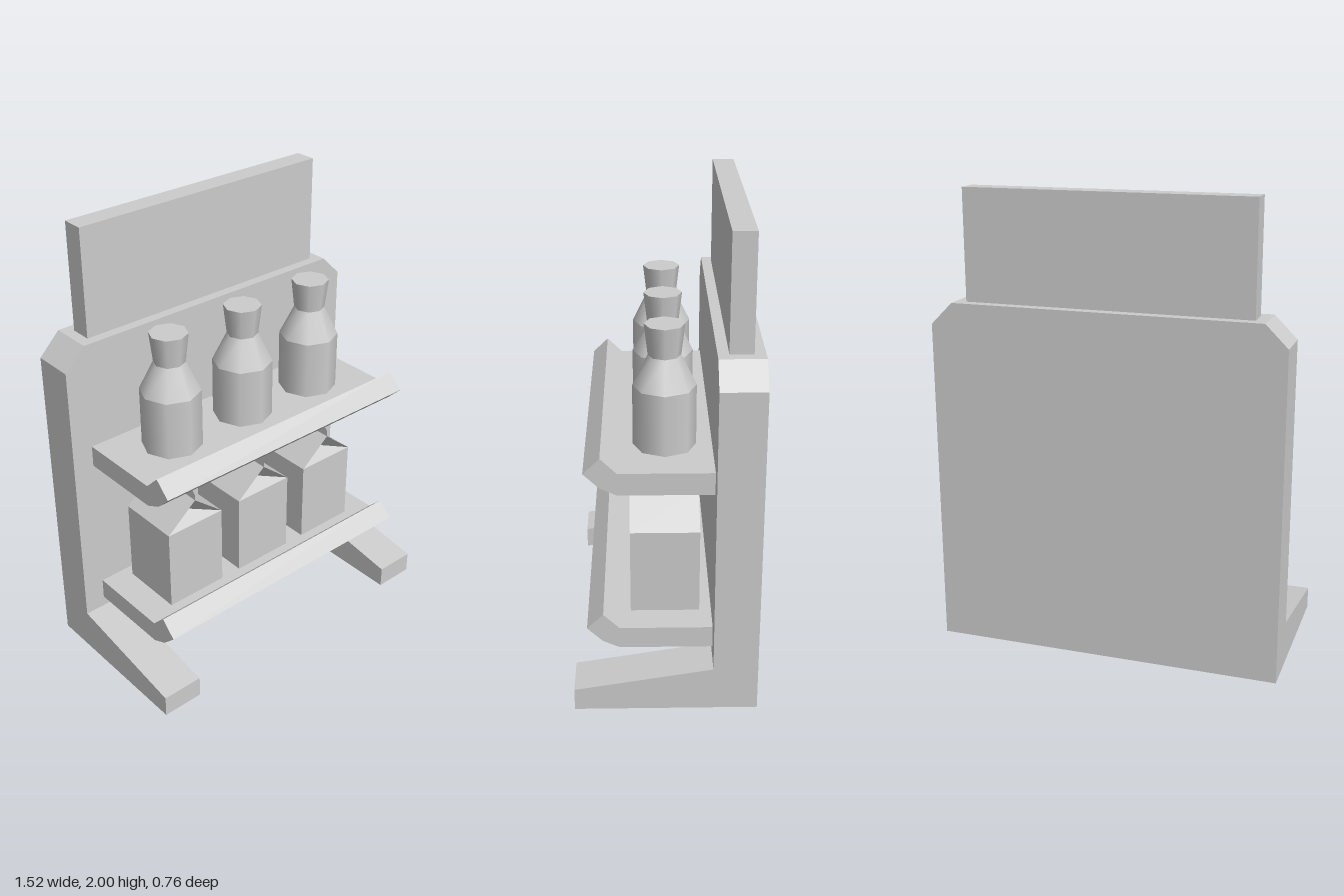
import * as THREE from 'three';

const flat = new THREE.MeshStandardMaterial({ color: 0xcccccc, flatShading: true });
const smooth = new THREE.MeshStandardMaterial({ color: 0xcccccc });
const thin = new THREE.MeshStandardMaterial({ color: 0xcccccc, side: THREE.DoubleSide });

function add(parent, name, geometry, x = 0, y = 0, z = 0, material = flat) {
  const mesh = new THREE.Mesh(geometry, material);
  mesh.name = name;
  mesh.position.set(x, y, z);
  parent.add(mesh);
  return mesh;
}

const shapeOf = (points) => new THREE.Shape(points.map(([x, y]) => new THREE.Vector2(x, y)));

const extrude = (points, depth) =>
  new THREE.ExtrudeGeometry(shapeOf(points), { depth, bevelEnabled: false });

// Side profile in [z, y], swept along x and centred
function sweepX(profile, width) {
  return extrude(profile.map(([z, y]) => [-z, y]), width)
    .rotateY(Math.PI / 2)
    .translate(-width / 2, 0, 0);
}

// Bottle standing on y = 0: body, shoulder and flared neck
function createBottle() {
  const bottle = new THREE.Group();
  const sections = [
    ['bottleBody', 0.13, 0.13, 0, 0.26],
    ['bottleShoulder', 0.067, 0.13, 0.26, 0.39],
    ['bottleNeck', 0.082, 0.067, 0.39, 0.52],
  ];
  for (const [name, top, bottom, y0, y1] of sections) {
    add(bottle, name, new THREE.CylinderGeometry(top, bottom, y1 - y0, 8), 0, (y0 + y1) / 2, 0, smooth);
  }
  return bottle;
}

// Gable-top carton standing on y = 0
function createCarton() {
  const carton = new THREE.Group();
  const w = 0.145, eave = 0.375, ridge = 0.495;
  add(carton, 'cartonBody', new THREE.BoxGeometry(2 * w, eave, 2 * w), 0, eave / 2, 0);

  // Half roof: one slope and one folded-in gable; the other half is turned round
  const A = [-w, eave, w], B = [w, eave, w], C = [w, eave, -w];
  const P = [0, ridge, w], Q = [0, ridge, -w], I = [0, 0.415, 0.075];
  const half = new THREE.BufferGeometry();
  const corners = [B, C, Q, B, Q, P, A, B, I, B, P, I, P, A, I].flat();
  half.setAttribute('position', new THREE.Float32BufferAttribute(corners, 3));
  half.computeVertexNormals();
  for (const turn of [0, Math.PI]) add(carton, 'cartonRoof', half).rotation.y = turn;

  // Sealed crest along the ridge
  const crest = new THREE.ShapeGeometry(shapeOf([
    [-w, ridge], [w, ridge], [w, 0.522], [0.12, 0.545], [-0.12, 0.545], [-w, 0.522],
  ]));
  add(carton, 'cartonCrest', crest, 0, 0, 0, thin).rotation.y = Math.PI / 2;
  return carton;
}

export function createModel() {
  const model = new THREE.Group();
  model.name = 'displayStand';

  // Back panel with clipped upper corners, and the header board
  const panel = extrude([
    [-0.76, 0], [0.76, 0], [0.76, 1.43], [0.665, 1.525], [-0.665, 1.525], [-0.76, 1.43],
  ], 0.185);
  add(model, 'backPanel', panel, 0, 0, -0.38);
  add(model, 'headerBoard', new THREE.BoxGeometry(1.235, 0.475, 0.095), 0, 1.7625, -0.287);

  // Sloping feet
  const foot = sweepX([[-0.195, 0], [-0.195, 0.192], [0.38, 0.097], [0.38, 0]], 0.187);
  for (const side of [-1, 1]) add(model, side > 0 ? 'leftFoot' : 'rightFoot', foot, side * 0.6665);

  // Shelves with a raised lip, each carrying three goods
  const shelf = sweepX([
    [-0.195, -0.095], [-0.195, 0], [0.19, 0], [0.257, 0.066],
    [0.325, 0], [0.26, -0.063], [0.19, -0.095],
  ], 1.33);
  const levels = [['lowerShelf', 0.335, createCarton, 'carton'], ['upperShelf', 1.05, createBottle, 'bottle']];
  for (const [name, y, createItem, itemName] of levels) {
    add(model, name, shelf, 0, y);
    for (const x of [-0.39, 0, 0.39]) {
      const item = createItem();
      item.name = itemName;
      item.position.set(x, y, 0);
      model.add(item);
    }
  }
  return model;
}
